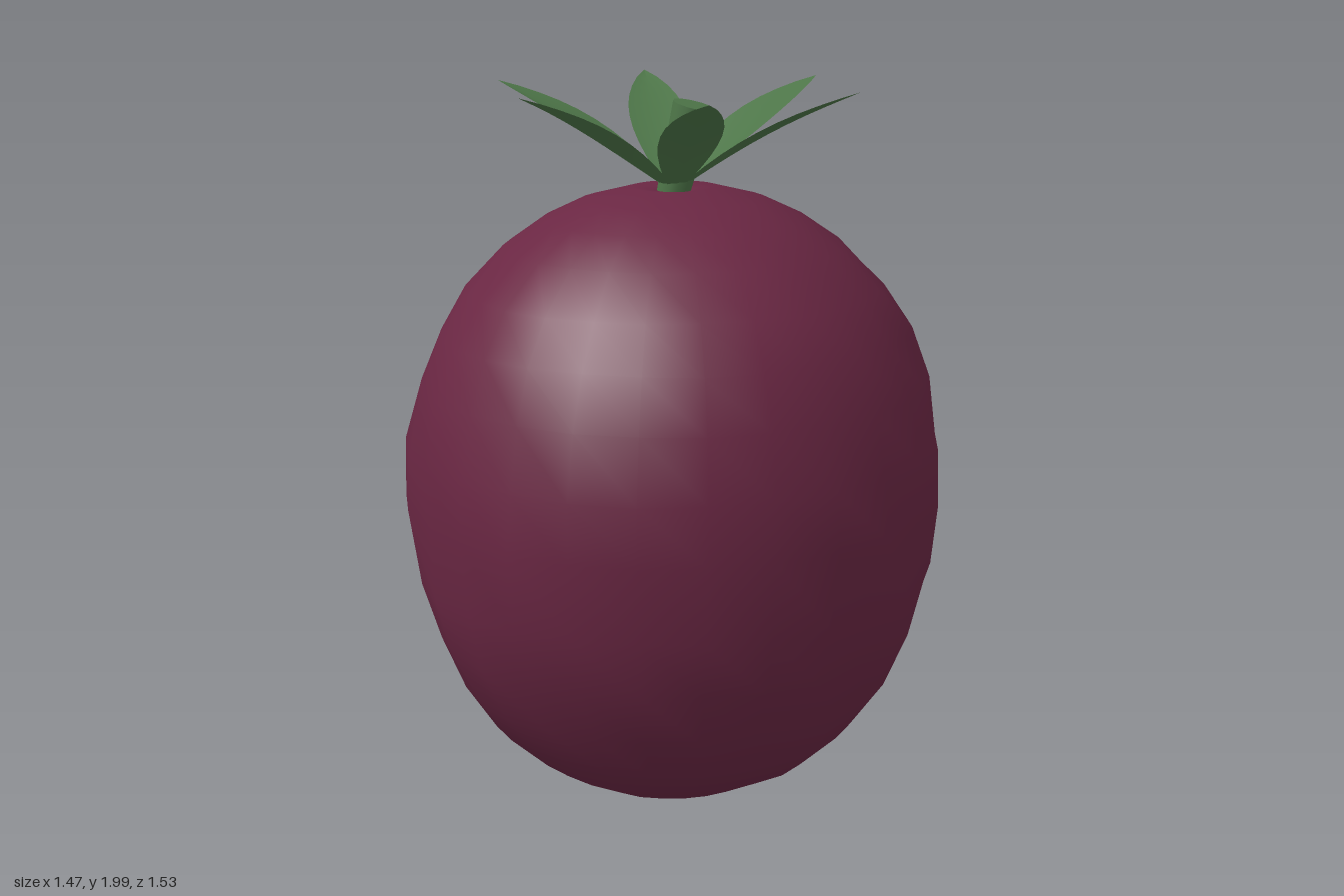
import * as THREE from 'three';
import { mergeVertices } from 'three/addons/utils/BufferGeometryUtils.js';

const skin = new THREE.MeshStandardMaterial({ color: 0x6a2743 });
skin.name = 'plumSkin';
const green = new THREE.MeshStandardMaterial({ color: 0x4d7548, side: THREE.DoubleSide });
green.name = 'leafGreen';

// Lumpy fruit: a lathed profile with gentle dents, slightly deeper than wide
function fruitGeometry() {
  const profile = [
    [0, 0.015], [0.12, 0.02], [0.26, 0.06], [0.4, 0.13], [0.51, 0.225], [0.6, 0.35],
    [0.675, 0.5], [0.725, 0.66], [0.75, 0.87], [0.745, 1.03], [0.71, 1.2],
    [0.655, 1.34], [0.58, 1.46], [0.47, 1.57], [0.36, 1.645], [0.25, 1.697],
    [0.12, 1.73], [0.05, 1.72], [0, 1.7],
  ].map(([r, y]) => new THREE.Vector2(r, y));
  let geo = new THREE.LatheGeometry(profile, 26);
  geo.deleteAttribute('uv');
  geo.deleteAttribute('normal');
  const p = geo.attributes.position;
  for (let i = 0; i < p.count; i++) {
    const x = p.getX(i), y = p.getY(i), z = p.getZ(i);
    const a = Math.atan2(z, x);
    const k = 1 + 0.008 * Math.sin(5 * a + 7 * y) + 0.007 * Math.sin(9 * a - 11 * y);
    p.setXYZ(i, x * k * 0.985, y, z * k * 1.02);
  }
  geo = mergeVertices(geo, 1e-4);
  geo.computeVertexNormals();
  return geo;
}

// Pointed leaf rising along +x, folded a little along its midrib
function leafGeometry() {
  const rows = 10, pos = [], index = [];
  for (let i = 0; i <= rows; i++) {
    const t = i / rows;
    const r = 0.01 + 0.51 * t;
    const y = 1.72 + 0.28 * t + 0.02 * Math.sin(Math.PI * t);
    const w = 0.082 * Math.pow(Math.sin(Math.PI * Math.min(1, 0.04 + 0.96 * t)), 0.85);
    for (const s of [-1, 0, 1]) pos.push(r, y + (s ? 0.18 * w : 0), s * w);
    if (i === rows) continue;
    for (const c of [0, 1]) {
      const a = i * 3 + c;
      index.push(a, a + 1, a + 3, a + 1, a + 4, a + 3);
    }
  }
  const geo = new THREE.BufferGeometry();
  geo.setAttribute('position', new THREE.Float32BufferAttribute(pos, 3));
  geo.setIndex(index);
  geo.computeVertexNormals();
  return geo;
}

export function createModel() {
  const model = new THREE.Group();
  model.name = 'fruit';

  const body = new THREE.Mesh(fruitGeometry(), skin);
  body.name = 'fruitBody';
  model.add(body);

  // Crown of six leaves
  const leaves = new THREE.Group();
  leaves.name = 'leafCrown';
  const leafGeo = leafGeometry();
  for (let i = 0; i < 6; i++) {
    const leaf = new THREE.Mesh(leafGeo, green);
    leaf.name = 'leaf';
    leaf.rotation.y = (i * Math.PI) / 3;
    leaves.add(leaf);
  }
  model.add(leaves);

  // Short stem leaning to its left
  const stem = new THREE.Mesh(new THREE.CylinderGeometry(0.06, 0.045, 0.26, 12), green);
  stem.name = 'stem';
  stem.position.set(0.024, 1.825, -0.005);
  stem.rotation.z = -0.25;
  model.add(stem);

  return model;
}
